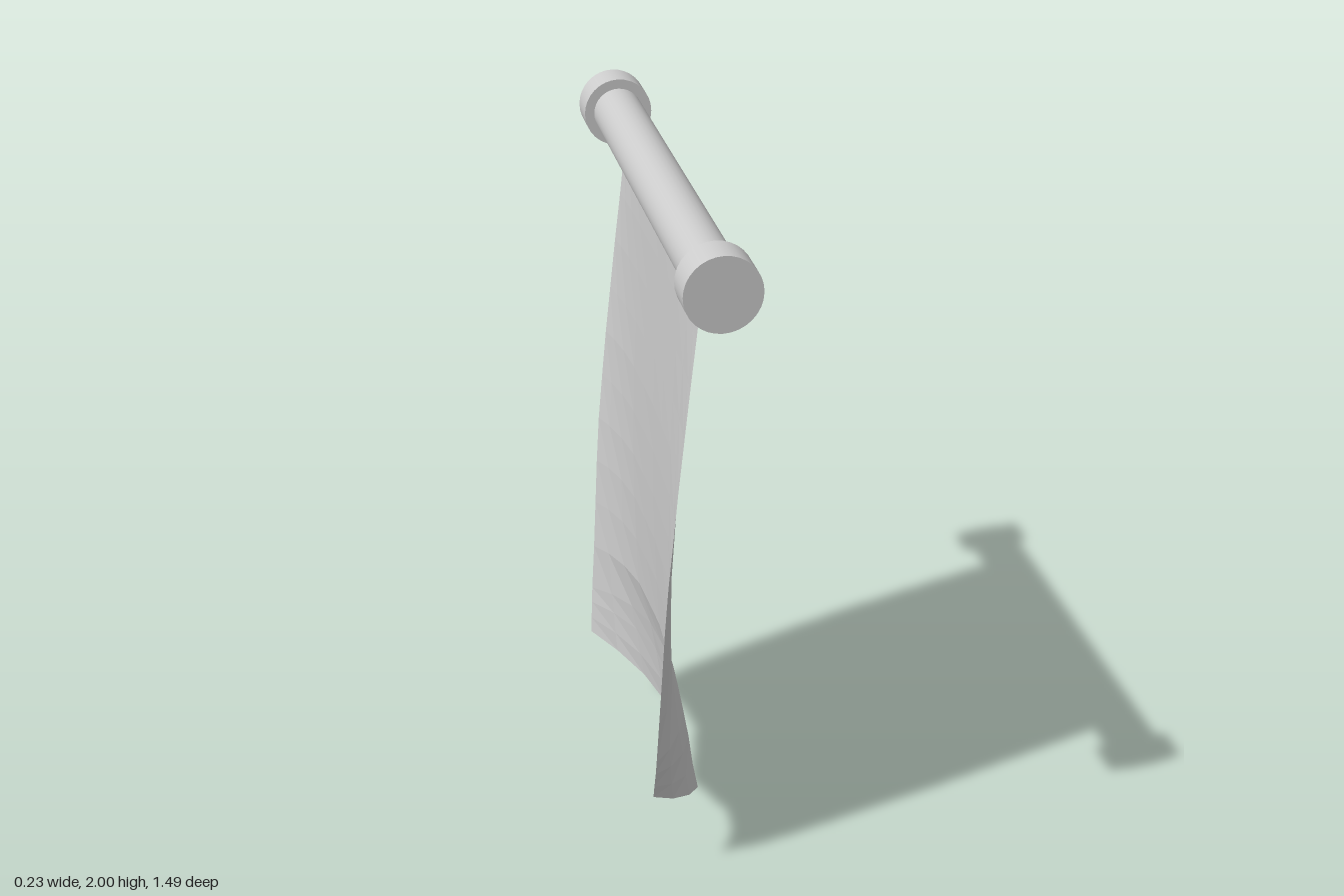
import * as THREE from 'three';

const grey = new THREE.MeshStandardMaterial({ color: 0xcccccc });
const clothGrey = new THREE.MeshStandardMaterial({ color: 0xcccccc, flatShading: true, side: THREE.DoubleSide });

// Cylinder lying along z, centred on the pole's axis
function poleCylinder(name, radius, length, z) {
  const mesh = new THREE.Mesh(new THREE.CylinderGeometry(radius, radius, length, 32).rotateX(Math.PI / 2), grey);
  mesh.name = name;
  mesh.position.set(0.017, 1.905, z);
  return mesh;
}

// Rows of the cloth: [height, x at the middle, x at the side edge, half width]
const rows = [
  [1.84, 0.017, 0.017, 0.53], [1.7, 0.011, 0.002, 0.529], [1.56, 0.006, -0.014, 0.529],
  [1.41, 0.001, -0.03, 0.528], [1.27, -0.003, -0.045, 0.527], [1.13, -0.004, -0.058, 0.525],
  [0.99, -0.003, -0.071, 0.52], [0.85, 0, -0.08, 0.513], [0.71, 0.006, -0.087, 0.506],
  [0.56, 0.015, -0.095, 0.497], [0.42, 0.055, -0.105, 0.483],
  [0.28, 0.075, -0.108, 0.473], [0.13, 0.092, -0.112, 0.462], [0, 0.112, -0.115, 0.45],
];
// Columns from the middle to the edge: [fraction of half width, curl, height of the hem]
const columns = [[0, 0, 0], [0.25, 0.06, 0.065], [0.5, 0.13, 0.13], [0.72, 0.36, 0.18], [0.89, 0.67, 0.23], [1, 1, 0.28]];

function createCloth() {
  const half = columns.length - 1;
  const geometry = new THREE.PlaneGeometry(1, 1, half * 2, rows.length - 1);
  const pos = geometry.attributes.position;
  rows.forEach(([height, middle, edge, width], r) => {
    for (let c = -half; c <= half; c++) {
      const [across, curl, hem] = columns[Math.abs(c)];
      // The lowest rows are squeezed towards the pointed hem
      const y = height < 0.42 ? hem + (0.42 - hem) * height / 0.42 : height;
      const bend = curl * (c > 0 ? 1 : 0.89);
      const x = middle + (edge - middle) * bend;
      pos.setXYZ(r * (half * 2 + 1) + c + half, x, y, -0.01 - Math.sign(c) * across * width);
    }
  });
  geometry.computeVertexNormals();
  const mesh = new THREE.Mesh(geometry, clothGrey);
  mesh.name = 'bannerCloth';
  return mesh;
}

export function createModel() {
  const group = new THREE.Group();
  group.name = 'hangingBanner';
  group.add(poleCylinder('pole', 0.07, 1.32, 0));
  for (const side of [1, -1]) {
    group.add(poleCylinder(side > 0 ? 'frontPoleCap' : 'backPoleCap', 0.097, 0.1, side * 0.695));
  }
  group.add(createCloth());
  return group;
}
